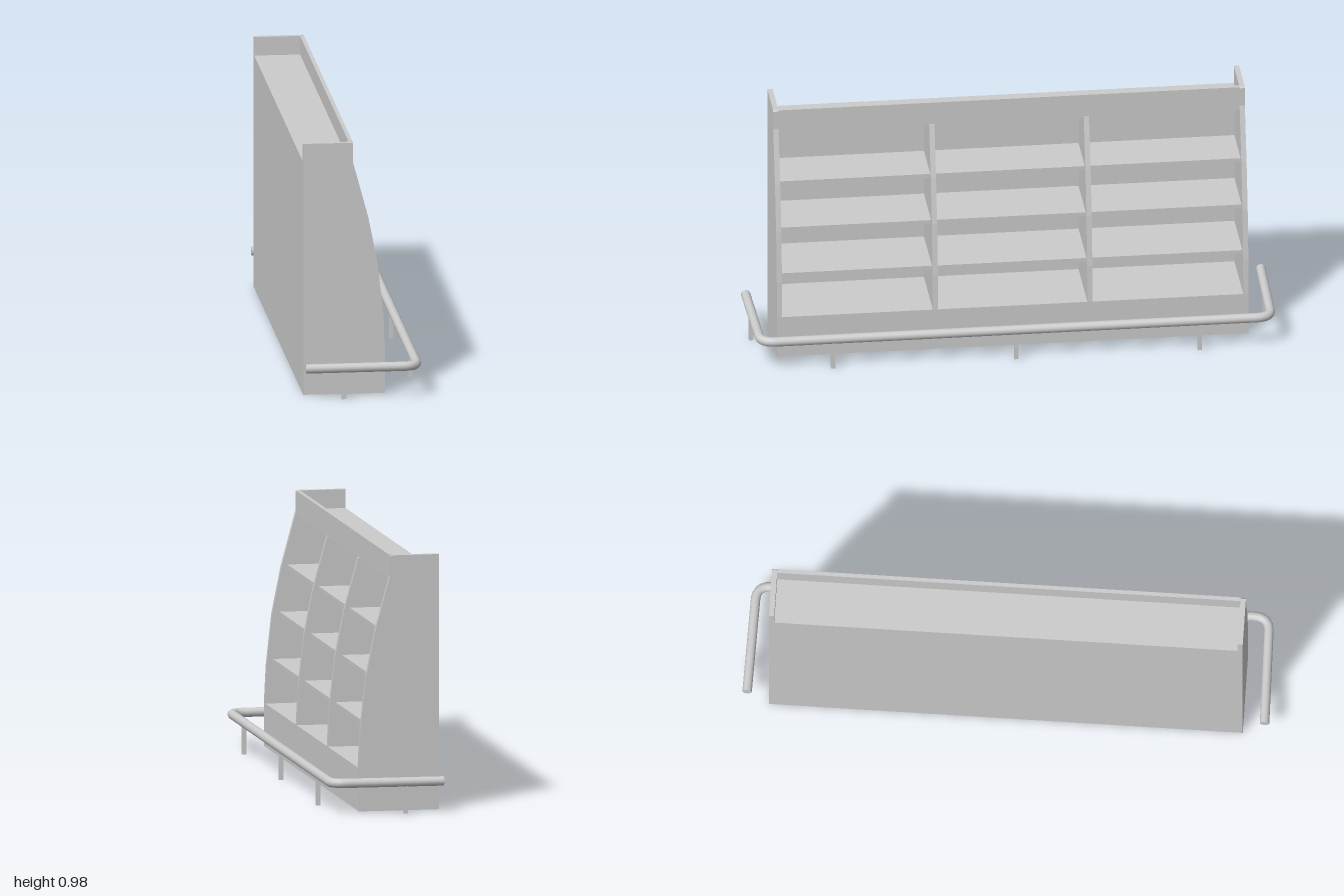
import * as THREE from 'three';

const mat = new THREE.MeshStandardMaterial({ color: 0xcccccc, side: THREE.DoubleSide });

// Curved front edge of the side panels, bottom to top, as [x, y]
const frontEdge = [[0.087, 0.165], [0.08, 0.31], [0.058, 0.51], [0.022, 0.69], [-0.035, 0.9]];
const BACK = -0.225, HALF = 0.9, T = 0.02;

export function createModel() {
  const group = new THREE.Group();

  function add(name, geometry, x = 0, y = 0, z = 0) {
    const mesh = new THREE.Mesh(geometry, mat);
    mesh.name = name;
    mesh.position.set(x, y, z);
    group.add(mesh);
    return mesh;
  }
  // Box given by its limits
  function box(name, x0, x1, y0, y1, z0, z1) {
    add(name, new THREE.BoxGeometry(x1 - x0, y1 - y0, z1 - z0),
      (x0 + x1) / 2, (y0 + y1) / 2, (z0 + z1) / 2);
  }
  // Upright board cut from an outline in x and y, centred on z
  function board(name, points, depth, z) {
    const shape = new THREE.Shape(points.map(([x, y]) => new THREE.Vector2(x, y)));
    const geometry = new THREE.ExtrudeGeometry(shape, { depth, bevelEnabled: false });
    add(name, geometry, 0, 0, z - depth / 2);
  }

  // End panels rise past the roof to close the top tray
  const endOutline = [[BACK, 0], [0.087, 0], ...frontEdge,
    [-0.035, 0.972], [-0.04, 0.977], [BACK, 0.977]];
  for (const s of [-1, 1]) board(s > 0 ? 'leftEndPanel' : 'rightEndPanel', endOutline, T, s * (HALF - T / 2));

  // Dividers between the three bays
  const dividerOutline = [[BACK + 0.01, 0.155], [0.085, 0.155],
    ...frontEdge.slice(0, 4).map(([x, y]) => [x - 0.002, y]), [-0.033, 0.885], [BACK + 0.01, 0.885]];
  for (const z of [-0.295, 0.295]) board('divider', dividerOutline, T, z);

  // Carcass: back, hollow plinth, floor, roof, header
  const inner = HALF - T;
  box('backPanel', BACK, BACK + T, 0, 0.905, -inner, inner);
  box('plinthFront', 0.067, 0.085, 0, 0.165, -inner, inner);
  box('bayFloor', BACK + T, 0.067, 0.147, 0.165, -inner, inner);
  box('roof', BACK + T, -0.05, 0.887, 0.905, -inner, inner);
  box('headerRail', -0.055, -0.038, 0.882, 0.905, -inner, inner);
  box('headerFascia', -0.05, -0.035, 0.9, 0.977, -inner, inner);

  // Soffit sloping down towards the back
  board('soffit', [[BACK + T, 0.855], [-0.05, 0.884], [-0.05, 0.89], [BACK + T, 0.89]], 2 * inner, 0);

  // Shelves get deeper towards the floor
  const bays = [[-inner, -0.305], [-0.285, 0.285], [0.305, inner]];
  for (const [front, top] of [[0.055, 0.335], [0.03, 0.515], [0.0, 0.695]])
    for (const [z0, z1] of bays) box('shelf', BACK + T, front, top - 0.016, top, z0, z1);

  // Bumper rail around the front and both ends
  const v = (x, z) => new THREE.Vector3(x, 0.12, z);
  const path = new THREE.CurvePath();
  path.add(new THREE.LineCurve3(v(BACK, -0.983), v(0.15, -0.975)));
  path.add(new THREE.QuadraticBezierCurve3(v(0.15, -0.975), v(0.204, -0.974), v(0.204, -0.915)));
  path.add(new THREE.LineCurve3(v(0.204, -0.915), v(0.204, 0.915)));
  path.add(new THREE.QuadraticBezierCurve3(v(0.204, 0.915), v(0.204, 0.974), v(0.15, 0.975)));
  path.add(new THREE.LineCurve3(v(0.15, 0.975), v(BACK, 0.983)));
  const R = 0.018;
  add('bumperRail', new THREE.TubeGeometry(path, 180, R, 16));
  for (const s of [-1, 1])
    add('railEndCap', new THREE.CircleGeometry(R, 16), BACK, 0.12, s * 0.983).rotation.y = -Math.PI / 2;

  // Rail posts
  const posts = [[-0.078, -0.98], [-0.078, 0.98], [0.204, -0.7], [0.204, 0], [0.204, 0.7]];
  for (const [x, z] of posts) box('railPost', x - 0.008, x + 0.008, 0, 0.11, z - 0.008, z + 0.008);

  return group;
}
